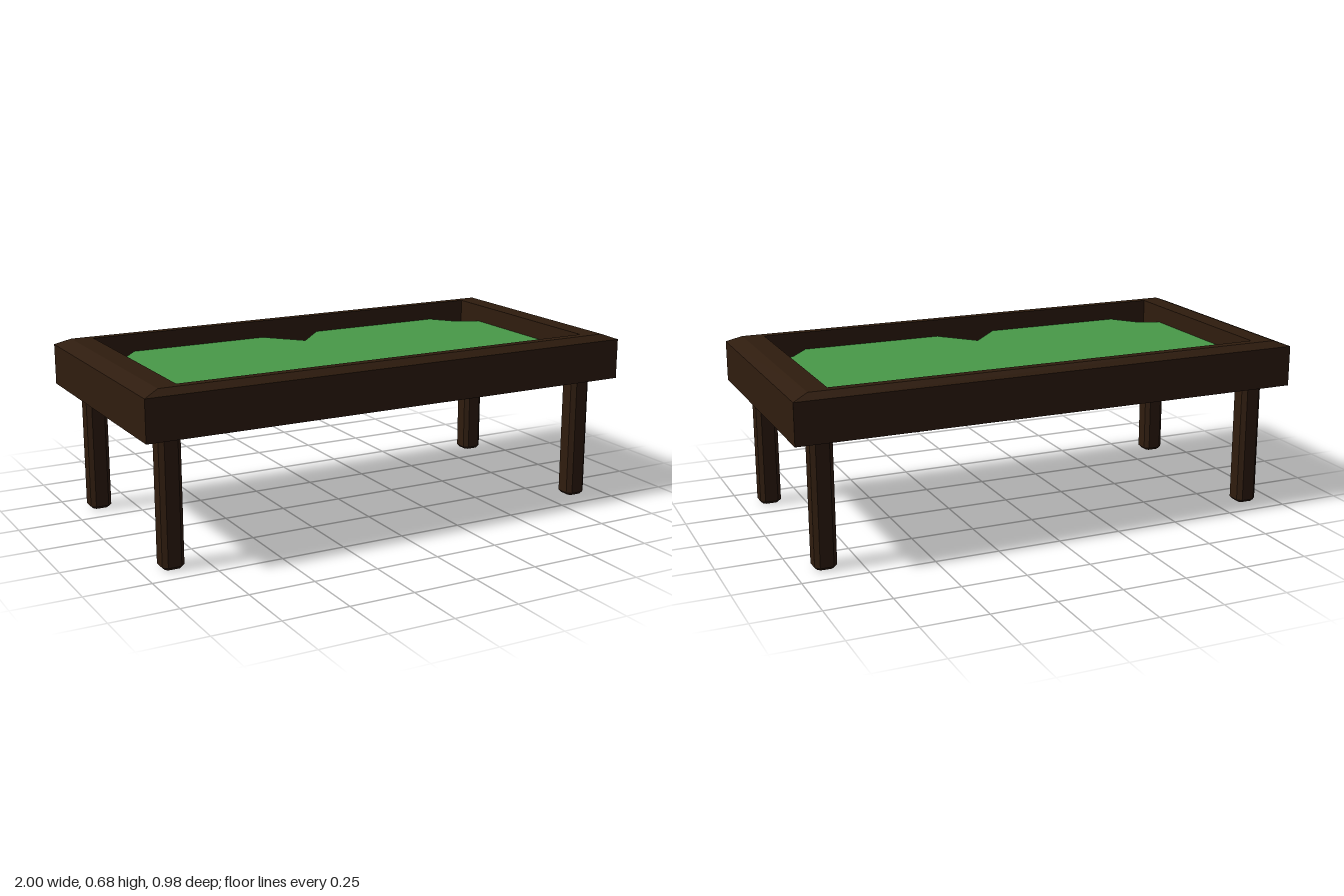
import * as THREE from 'three';

const wood = new THREE.MeshStandardMaterial({ color: 0x2f1c0e, flatShading: true });
const felt = new THREE.MeshStandardMaterial({ color: 0x489a48, flatShading: true, side: THREE.DoubleSide });

const BASE = 0.495, FLOOR = 0.507, BED = 0.605;

function mesh(name, geometry, material) {
  const m = new THREE.Mesh(geometry, material);
  m.name = name;
  return m;
}

// Flat-faced geometry from quads, each four [x, y, z] corners in counter-clockwise order
function fromQuads(quads) {
  const pos = quads.flatMap(([a, b, c, d]) => [a, b, c, a, c, d].flat());
  const g = new THREE.BufferGeometry();
  g.setAttribute('position', new THREE.Float32BufferAttribute(pos, 3));
  g.computeVertexNormals();
  return g;
}

// Rectangular frame: its section swept as rings of [half x, half z, y]
function frameGeometry() {
  const section = [[1, 0.49, BASE], [1, 0.49, 0.653], [0.94, 0.46, 0.675], [0.86, 0.425, 0.675], [0.86, 0.425, BASE]];
  const rings = section.map(([x, z, y]) => [[x, y, z], [x, y, -z], [-x, y, -z], [-x, y, z]]);
  const quads = [];
  rings.forEach((a, k) => {
    const b = rings[(k + 1) % rings.length];
    for (let i = 0; i < 4; i++) {
      const j = (i + 1) % 4;
      quads.push([a[i], a[j], b[j], b[i]]);
    }
  });
  return fromQuads(quads);
}

// Square post with chamfered corners and a bevelled foot
function legGeometry() {
  const h = 0.031, c = 0.021, bevel = 0.011;
  const pts = [[h, -c], [h, c], [c, h], [-c, h], [-h, c], [-h, -c], [-c, -h], [c, -h]];
  const shape = new THREE.Shape(pts.map(p => new THREE.Vector2(...p)));
  const g = new THREE.ExtrudeGeometry(shape, {
    depth: BASE - bevel, bevelEnabled: true, bevelSegments: 1, bevelSize: bevel, bevelThickness: bevel,
  });
  return g.rotateX(-Math.PI / 2).translate(0, bevel, 0);
}

// Pocket edges in one quarter of the bed, at the top and at the floor
const sideTop = [[0, 0.285], [0.125, 0.425]];
const sideLow = [[0, 0.313], [0.105, 0.425]];
const cornerTop = [[0.695, 0.425], [0.77, 0.33], [0.86, 0.285]];
const cornerLow = [[0.72, 0.425], [0.785, 0.346], [0.86, 0.306]];

// Playing surface with pocket notches cut from its outline
function surfaceGeometry() {
  const quarter = [...sideTop, ...cornerTop];
  const outline = [[1, 1], [1, -1], [-1, -1], [-1, 1]].flatMap(([sx, sz]) => {
    const pts = quarter.map(([x, z]) => new THREE.Vector2(x * sx, z * sz));
    return sx * sz > 0 ? pts : pts.reverse();
  });
  // the side pocket tips are shared by neighbouring quarters
  const clean = outline.filter((p, i) => !p.equals(outline[(i + 1) % outline.length]));
  return new THREE.ShapeGeometry(new THREE.Shape(clean)).rotateX(-Math.PI / 2).translate(0, BED, 0);
}

// Sloping pocket wall, mirrored into the quarter given by the signs
function wallGeometry(top, low, sx, sz) {
  const at = ([x, z], y) => [x * sx, y, z * sz];
  const quads = [];
  for (let i = 0; i + 1 < top.length; i++) {
    const q = [at(low[i], FLOOR), at(low[i + 1], FLOOR), at(top[i + 1], BED), at(top[i], BED)];
    quads.push(sx * sz > 0 ? q : q.reverse());
  }
  return fromQuads(quads);
}

export function createModel() {
  const table = new THREE.Group();
  table.name = 'poolTable';
  table.add(mesh('railFrame', frameGeometry(), wood));

  // Felt bed: base, top surface and pocket walls
  const bed = new THREE.Group();
  bed.name = 'feltBed';
  const base = mesh('bedBase', new THREE.BoxGeometry(1.72, FLOOR - BASE - 0.002, 0.85), felt);
  base.position.y = (FLOOR + BASE + 0.002) / 2;
  bed.add(base, mesh('playingSurface', surfaceGeometry(), felt));
  table.add(bed);

  const leg = legGeometry();
  for (const sx of [-1, 1]) for (const sz of [-1, 1]) {
    bed.add(mesh('sidePocketWall', wallGeometry(sideTop, sideLow, sx, sz), felt));
    bed.add(mesh('cornerPocketWall', wallGeometry(cornerTop, cornerLow, sx, sz), felt));
    const post = mesh('leg', leg, wood);
    post.position.set(sx * 0.884, 0, sz * 0.381);
    table.add(post);
  }
  return table;
}
